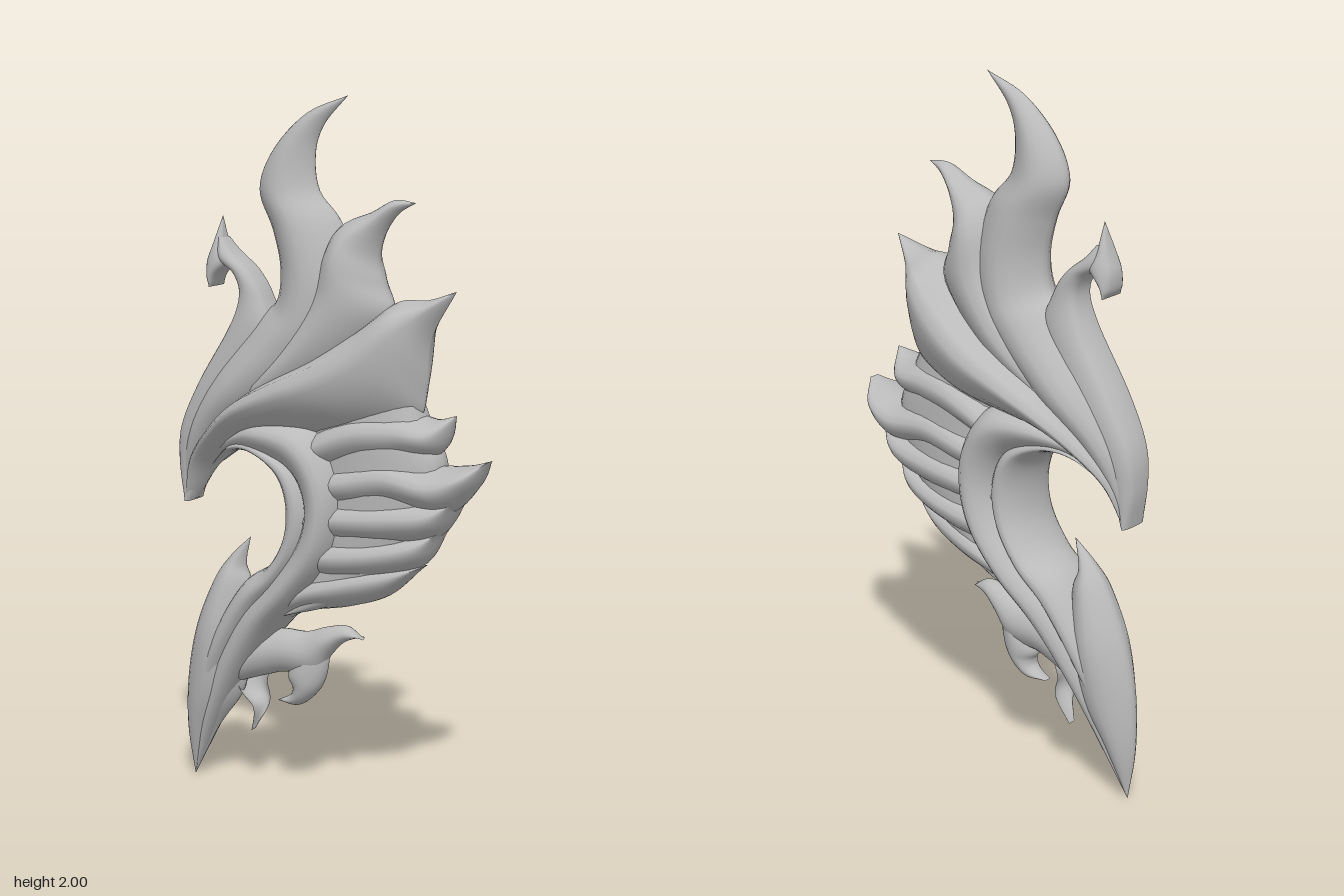
import * as THREE from 'three';

const stone = new THREE.MeshStandardMaterial({ color: 0xbababa });
stone.name = 'grey stone';

// Lofts a lens-shaped blade. Each row: [edge A x, y, edge B x, y, half depth].
// ridge (-1..1) moves the crest towards edge A or B; round sets how full the edges are.
function blade(name, rows, ridge = 0, round = 0.7) {
  const edgeA = new THREE.CatmullRomCurve3(rows.map(r => new THREE.Vector3(r[0], r[1], r[4])), false, 'catmullrom', 0.5);
  const edgeB = new THREE.CatmullRomCurve3(rows.map(r => new THREE.Vector3(r[2], r[3], r[4])), false, 'catmullrom', 0.5);
  const steps = (rows.length - 1) * 6, cols = 12, ring = cols * 2;
  const pos = [], index = [];
  for (let i = 0; i <= steps; i++) {
    const a = edgeA.getPoint(i / steps), b = edgeB.getPoint(i / steps);
    const depth = Math.max(a.z, 0);
    for (let j = 0; j < ring; j++) {
      const u = -Math.cos((j / cols) * Math.PI);
      const v = (u - ridge) / (u > ridge ? 1 - ridge : 1 + ridge);
      const z = depth * Math.pow(Math.max(0, 1 - Math.pow(Math.abs(v), 1.7)), round);
      const k = (u + 1) / 2;
      pos.push(a.x + (b.x - a.x) * k, a.y + (b.y - a.y) * k, j <= cols ? z : -z);
    }
  }
  for (let i = 0; i < steps; i++) {
    for (let j = 0; j < ring; j++) {
      const p = i * ring + j, q = i * ring + (j + 1) % ring;
      index.push(p, p + ring, q, q, p + ring, q + ring);
    }
  }
  // Turn the faces outwards whichever way the edges run
  let volume = 0;
  const corner = n => new THREE.Vector3().fromArray(pos, index[n] * 3);
  for (let n = 0; n < index.length; n += 3) volume += corner(n).dot(corner(n + 1).cross(corner(n + 2)));
  if (volume < 0) index.reverse();
  const geo = new THREE.BufferGeometry();
  geo.setAttribute('position', new THREE.Float32BufferAttribute(pos, 3));
  geo.setIndex(index);
  geo.computeVertexNormals();
  const mesh = new THREE.Mesh(geo, stone);
  mesh.name = name;
  return mesh;
}

export function createModel() {
  const model = new THREE.Group();
  model.name = 'flameOrnament';
  const add = (...args) => model.add(blade(...args));

  // Tall flame running down into the beak
  add('crownFlame', [
    [0.05, 2, 0.05, 2, 0], [-0.08, 1.95, -0.025, 1.92, 0.025], [-0.185, 1.85, -0.053, 1.84, 0.05],
    [-0.23, 1.74, -0.04, 1.74, 0.07], [-0.185, 1.63, 0.03, 1.655, 0.088], [-0.16, 1.53, 0.08, 1.5, 0.1],
    [-0.17, 1.44, 0.06, 1.36, 0.108], [-0.23, 1.38, 0, 1.26, 0.115], [-0.36, 1.23, -0.15, 1.14, 0.12],
    [-0.45, 1.09, -0.3, 1.04, 0.09], [-0.485, 0.96, -0.39, 0.94, 0.06], [-0.47, 0.84, -0.45, 0.84, 0.04],
  ], -0.1);

  // Second flame leaning to the side
  add('sideFlame', [
    [0.26, 1.72, 0.26, 1.72, 0], [0.195, 1.725, 0.207, 1.688, 0.025], [0.125, 1.69, 0.165, 1.63, 0.05],
    [0.04, 1.655, 0.148, 1.56, 0.085], [-0.01, 1.59, 0.168, 1.49, 0.108], [-0.06, 1.46, 0.19, 1.4, 0.115],
    [-0.15, 1.33, 0.05, 1.24, 0.12], [-0.3, 1.19, -0.15, 1.12, 0.1], [-0.4, 1.05, -0.38, 1, 0.05],
  ], -0.2);

  // Barbed hook and its stem along the outer edge
  add('hookBarb', [
    [-0.355, 1.66, -0.355, 1.66, 0], [-0.38, 1.58, -0.343, 1.585, 0.03], [-0.397, 1.53, -0.32, 1.54, 0.045],
    [-0.395, 1.485, -0.36, 1.495, 0.044], [-0.38, 1.46, -0.38, 1.46, 0.04],
  ], 0, 0.3);
  add('hookStem', [
    [-0.36, 1.6, -0.345, 1.6, 0.025], [-0.355, 1.54, -0.31, 1.56, 0.045], [-0.305, 1.5, -0.25, 1.51, 0.048],
    [-0.287, 1.44, -0.205, 1.44, 0.052], [-0.32, 1.35, -0.18, 1.33, 0.065], [-0.42, 1.19, -0.28, 1.15, 0.07],
    [-0.482, 1.06, -0.38, 1.03, 0.062], [-0.493, 0.95, -0.42, 0.92, 0.052], [-0.475, 0.835, -0.455, 0.835, 0.045],
  ], 0, 0.25);

  // Deep wing blade with its crest near the top
  add('wing', [
    [0.385, 1.49, 0.385, 1.49, 0], [0.3, 1.462, 0.312, 1.36, 0.06], [0.21, 1.452, 0.298, 1.22, 0.125],
    [0.1, 1.38, 0.27, 1.13, 0.155], [-0.02, 1.305, 0.13, 1.07, 0.176], [-0.14, 1.24, -0.06, 1.05, 0.178],
    [-0.26, 1.165, -0.2, 1.04, 0.16], [-0.36, 1.075, -0.3, 1, 0.12], [-0.445, 0.965, -0.38, 0.94, 0.075],
    [-0.475, 0.835, -0.45, 0.84, 0.04],
  ], -0.55, 0.85);

  // Solid core behind the feathers
  add('featherCore', [
    [-0.05, 1.2, 0.27, 1.2, 0.08], [-0.05, 1.1, 0.31, 1.1, 0.09], [-0.05, 1, 0.35, 1.02, 0.092],
    [-0.05, 0.9, 0.345, 0.92, 0.092], [-0.06, 0.8, 0.3, 0.82, 0.09], [-0.08, 0.7, 0.23, 0.73, 0.085],
    [-0.12, 0.58, 0.05, 0.6, 0.08], [-0.16, 0.53, -0.1, 0.55, 0.06],
  ], 0, 0.3);

  // Layered feathers, top to bottom
  const feathers = [
    [[0.39, 1.155, 0.39, 1.155, 0], [0.32, 1.14, 0.345, 1.05, 0.08], [0.22, 1.16, 0.24, 1.02, 0.1],
      [0.1, 1.15, 0.12, 1, 0.115], [-0.03, 1.08, -0.02, 0.96, 0.11], [-0.08, 1, -0.08, 0.95, 0.08]],
    [[0.49, 1.04, 0.49, 1.04, 0.015], [0.425, 1.022, 0.447, 0.955, 0.085], [0.33, 1.015, 0.37, 0.885, 0.108],
      [0.2, 1.035, 0.22, 0.89, 0.11], [0.05, 1, 0.07, 0.87, 0.112], [-0.05, 0.95, -0.05, 0.9, 0.09]],
    [[0.405, 0.925, 0.405, 0.925, 0.05], [0.33, 0.925, 0.347, 0.82, 0.095], [0.2, 0.92, 0.22, 0.78, 0.112],
      [0.05, 0.9, 0.05, 0.77, 0.114], [-0.05, 0.85, -0.05, 0.8, 0.09]],
    [[0.35, 0.83, 0.35, 0.83, 0.04], [0.28, 0.825, 0.3, 0.735, 0.08], [0.17, 0.81, 0.18, 0.685, 0.106],
      [0.03, 0.79, 0.03, 0.66, 0.112], [-0.06, 0.74, -0.06, 0.7, 0.09]],
    [[0.29, 0.725, 0.29, 0.725, 0.03], [0.21, 0.73, 0.19, 0.633, 0.07], [0.08, 0.71, 0.065, 0.585, 0.098],
      [-0.05, 0.66, -0.07, 0.555, 0.1], [-0.17, 0.56, -0.15, 0.515, 0.075]],
  ];
  feathers.forEach((rows, i) => add('feather' + (i + 1), rows, -0.15, 0.6));

  // Crescent ribbons curling round the opening
  add('outerRibbon', [
    [-0.4, 0.98, -0.38, 0.96, 0.04], [-0.3, 1.06, -0.29, 1, 0.08], [-0.18, 1.11, -0.2, 1, 0.125],
    [-0.03, 1.1, -0.115, 0.97, 0.142], [0.055, 1, -0.07, 0.92, 0.142], [0.078, 0.88, -0.055, 0.84, 0.142],
    [0.045, 0.74, -0.085, 0.75, 0.142], [-0.05, 0.61, -0.17, 0.64, 0.135], [-0.17, 0.485, -0.28, 0.53, 0.11],
    [-0.28, 0.34, -0.37, 0.38, 0.083], [-0.38, 0.18, -0.43, 0.2, 0.05], [-0.47, 0, -0.47, 0, 0],
  ], -0.2, 0.42);
  add('innerRibbon', [
    [-0.38, 0.95, -0.38, 0.95, 0.03], [-0.29, 1.03, -0.31, 0.995, 0.075], [-0.2, 1.04, -0.225, 0.998, 0.1],
    [-0.07, 0.98, -0.152, 0.95, 0.11], [-0.02, 0.87, -0.122, 0.87, 0.112], [-0.04, 0.75, -0.13, 0.77, 0.112],
    [-0.12, 0.63, -0.18, 0.685, 0.112], [-0.22, 0.52, -0.275, 0.617, 0.105], [-0.32, 0.37, -0.39, 0.43, 0.088],
    [-0.42, 0.17, -0.46, 0.22, 0.05], [-0.47, 0, -0.47, 0, 0],
  ], 0, 0.5);

  // Pointed lower blade
  add('lowerBlade', [
    [-0.27, 0.745, -0.27, 0.745, 0], [-0.335, 0.685, -0.288, 0.66, 0.03], [-0.39, 0.61, -0.27, 0.6, 0.06],
    [-0.45, 0.47, -0.27, 0.45, 0.085], [-0.485, 0.31, -0.295, 0.29, 0.075], [-0.49, 0.15, -0.385, 0.16, 0.045],
    [-0.47, 0, -0.47, 0, 0],
  ], -0.1, 0.7);

  // Small curls under the wing
  add('upperCurl', [
    [0.1, 0.49, 0.1, 0.5, 0.01], [0.05, 0.523, 0.04, 0.475, 0.028], [-0.015, 0.513, -0.005, 0.43, 0.042],
    [-0.085, 0.49, -0.05, 0.37, 0.048], [-0.165, 0.488, -0.15, 0.362, 0.052], [-0.25, 0.47, -0.21, 0.345, 0.058],
    [-0.34, 0.4, -0.31, 0.31, 0.06],
  ], 0, 0.5);
  add('lowerCurl', [
    [-0.01, 0.45, -0.09, 0.46, 0.035], [-0.018, 0.38, -0.14, 0.365, 0.046], [-0.045, 0.32, -0.125, 0.325, 0.042],
    [-0.105, 0.27, -0.132, 0.3, 0.03], [-0.175, 0.275, -0.175, 0.275, 0.012],
  ], 0, 0.5);
  add('smallCurl', [
    [-0.34, 0.36, -0.2, 0.37, 0.05], [-0.3, 0.285, -0.225, 0.32, 0.046], [-0.258, 0.24, -0.217, 0.255, 0.034],
    [-0.265, 0.17, -0.265, 0.17, 0.012],
  ], 0, 0.5);

  return model;
}
